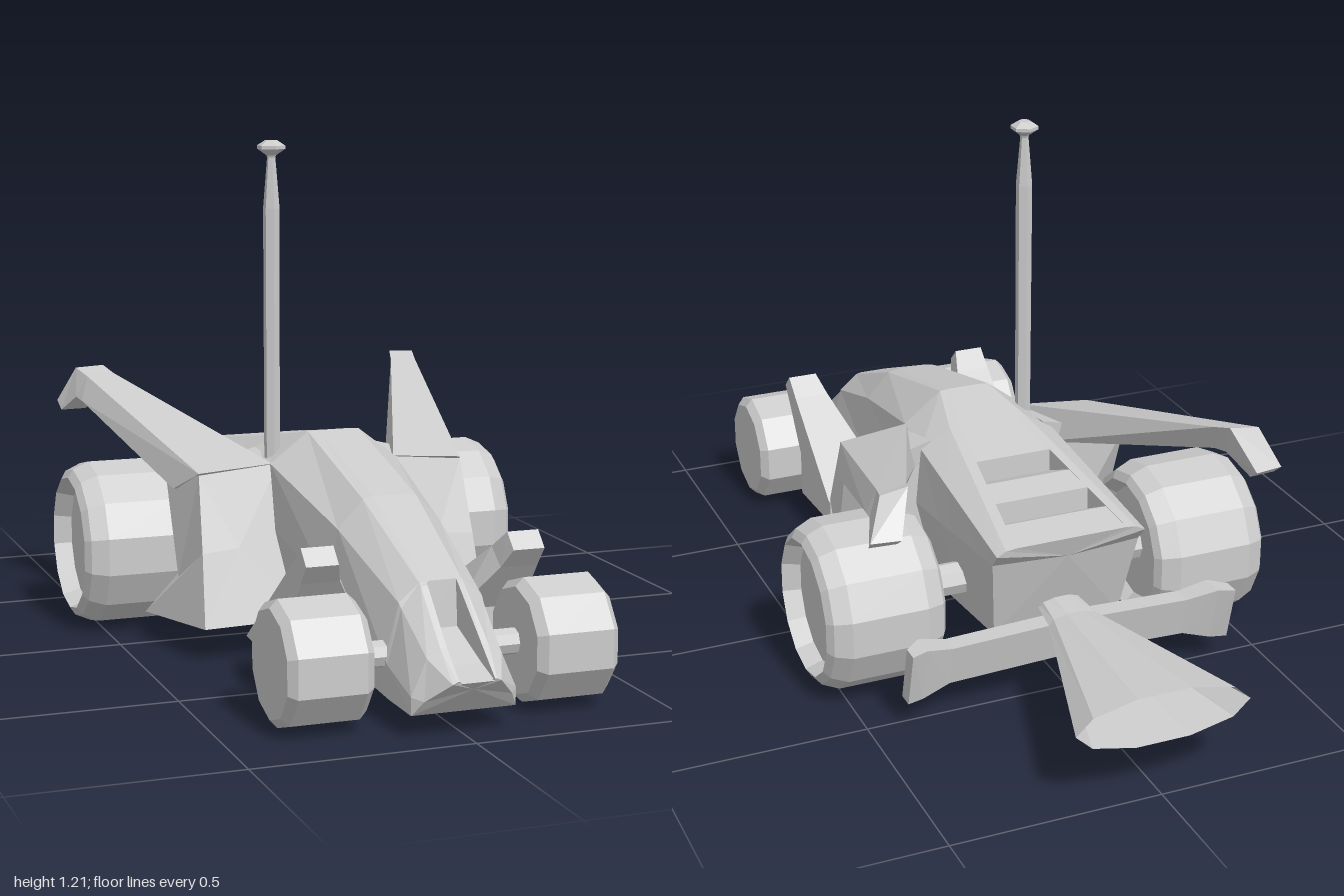
import * as THREE from 'three';

const grey = new THREE.MeshStandardMaterial({ color: 0xcccccc, flatShading: true });
grey.name = 'plain grey';
const greyOpen = grey.clone();
greyOpen.name = 'plain grey';
greyOpen.side = THREE.DoubleSide;

// Skin a run of equal-length loops of [x, y, z]; caps are fans, winding is made outward
function loft(name, loops, { caps = true, material = grey } = {}) {
  const tris = [];
  const n = loops[0].length;
  for (let i = 0; i < loops.length - 1; i++) {
    for (let j = 0; j < n; j++) {
      const k = (j + 1) % n;
      const a = loops[i][j], b = loops[i][k], c = loops[i + 1][k], d = loops[i + 1][j];
      tris.push([a, b, c], [a, c, d]);
    }
  }
  if (caps) {
    [loops[0], loops[loops.length - 1]].forEach((loop, end) => {
      const mid = [0, 1, 2].map((q) => loop.reduce((s, p) => s + p[q], 0) / n);
      loop.forEach((p, j) => {
        const next = loop[(j + 1) % n];
        tris.push(end ? [p, next, mid] : [next, p, mid]);
      });
    });
  }
  const volume = tris.reduce((s, [a, b, c]) => s
    + a[0] * (b[1] * c[2] - b[2] * c[1])
    + a[1] * (b[2] * c[0] - b[0] * c[2])
    + a[2] * (b[0] * c[1] - b[1] * c[0]), 0);
  if (volume < 0) tris.forEach((t) => t.reverse());
  const geo = new THREE.BufferGeometry();
  geo.setAttribute('position', new THREE.Float32BufferAttribute(tris.flat(2), 3));
  geo.computeVertexNormals();
  const mesh = new THREE.Mesh(geo, material);
  mesh.name = name;
  return mesh;
}

const mirror = (loops, side) => loops.map((l) => l.map(([x, y, z]) => [x * side, y, z]));

// Half outline (channel floor, channel edge, ridge, shoulder, side, bottom) to a full ring
function ring(z, half) {
  const right = half.map(([x, y, dz = 0]) => [x, y, z + dz]);
  const left = right.map(([x, y, q]) => [-x, y, q]).reverse();
  return [...right, ...left];
}

// Rear deck section; depth sinks the vent floor
function deck(z, depth) {
  const t = (-0.02 - z) / 0.5;
  const y = 0.49 - 0.09 * t;
  const r = 0.1 + 0.065 * t;
  return ring(z, [
    [r - 0.025, y - depth], [r - 0.025, y], [r, y - 0.003],
    [0.175 + 0.012 * t, 0.44 - 0.055 * t],
    [0.19 - 0.005 * t, 0.3 + 0.05 * t, 0.03 * t],
    [0.14 + 0.02 * t, 0.07 + 0.07 * t, 0.08 * t],
  ]);
}

function body() {
  return loft('body', [
    ring(1, [[0.04, 0.13], [0.04, 0.135], [0.045, 0.135], [0.055, 0.13], [0.1, 0.085, -0.045], [0.12, 0.05, -0.07]]),
    ring(0.93, [[0.04, 0.15], [0.04, 0.19], [0.055, 0.19], [0.085, 0.17], [0.12, 0.09], [0.12, 0.05]]),
    ring(0.81, [[0.035, 0.2], [0.035, 0.297], [0.05, 0.293], [0.095, 0.25], [0.127, 0.13], [0.12, 0.05]]),
    ring(0.8, [[0.03, 0.303], [0.035, 0.303], [0.05, 0.3], [0.097, 0.26], [0.128, 0.14], [0.12, 0.05]]),
    ring(0.5, [[0.03, 0.43], [0.04, 0.43], [0.065, 0.425], [0.125, 0.36], [0.143, 0.22], [0.12, 0.065]]),
    ring(0.13, [[0.03, 0.52], [0.04, 0.52], [0.065, 0.518], [0.16, 0.445], [0.165, 0.3], [0.13, 0.085]]),
    deck(-0.02, 0),
    deck(-0.18, 0), deck(-0.182, 0.055), deck(-0.27, 0.001),
    deck(-0.35, 0), deck(-0.352, 0.055), deck(-0.43, 0.001),
    deck(-0.52, 0),
  ]);
}

// Side pod with flared lower lip
function sidePod(side) {
  return loft('sidePod', mirror([
    [[0.14, 0.445, 0.13], [0.335, 0.425, 0.12], [0.345, 0.25, 0.18], [0.355, 0.08, 0.23], [0.1, 0.088, 0.235]],
    [[0.15, 0.46, -0.02], [0.375, 0.4, -0.02], [0.37, 0.17, 0.06], [0.425, 0.065, -0.04], [0.1, 0.06, -0.04]],
  ], side));
}

// Swept-back wing arm with a drooped tip
function wingArm(side) {
  return loft('wingArm', mirror([
    [[0.155, 0.445, 0.13], [0.335, 0.43, 0.12], [0.372, 0.38, 0.03], [0.17, 0.38, 0.03]],
    [[0.385, 0.59, -0.47], [0.455, 0.585, -0.47], [0.475, 0.525, -0.45], [0.4, 0.525, -0.45]],
    [[0.4, 0.605, -0.52], [0.47, 0.6, -0.53], [0.48, 0.53, -0.49], [0.41, 0.53, -0.49]],
    [[0.44, 0.51, -0.585], [0.51, 0.51, -0.575], [0.505, 0.488, -0.55], [0.44, 0.488, -0.555]],
  ], side));
}

// Wedge fin rising behind each front wheel
function frontFin(side) {
  const slab = (xi, xo, [zb, yb], [zf, yf]) => [[xi, yb, zb], [xo, yb, zb], [xo, yf, zf], [xi, yf, zf]];
  return loft('frontFin', mirror([
    slab(0.1, 0.28, [0.31, 0.08], [0.61, 0.062]),
    slab(0.12, 0.28, [0.43, 0.17], [0.61, 0.18]),
    slab(0.19, 0.28, [0.64, 0.328], [0.69, 0.29]),
    slab(0.205, 0.28, [0.69, 0.37], [0.725, 0.335]),
  ], side));
}

// Half of the rear bumper, turned back at its end
function rearBumper(side) {
  const cut = (x, y0, y1, z0, z1, lean) => [[x, y0, z0], [x, y0, z1], [x, y1, z1 - lean], [x, y1, z0 - lean]];
  return loft('rearBumper', mirror([
    cut(0, 0.09, 0.19, -0.46, -0.51, 0.02),
    cut(0.3, 0.08, 0.18, -0.46, -0.51, 0.02),
    cut(0.37, 0.06, 0.2, -0.46, -0.52, 0.03),
    cut(0.41, 0.06, 0.2, -0.49, -0.53, 0.035),
  ], side));
}

// Wheel lathed from [radius, distance outward]
function wheel(name, profile, sides, side, x, y, z) {
  const points = profile.map(([r, h]) => new THREE.Vector2(r, h));
  const geo = new THREE.LatheGeometry(points, sides);
  geo.rotateY(Math.PI / sides);
  geo.rotateZ(-side * Math.PI / 2);
  const mesh = new THREE.Mesh(geo, greyOpen);
  mesh.name = name;
  mesh.position.set(side * x, y, z);
  return mesh;
}

function axle(name, radius, width, y, z) {
  const mesh = new THREE.Mesh(new THREE.CylinderGeometry(radius, radius, width, 8).rotateZ(Math.PI / 2), grey);
  mesh.name = name;
  mesh.position.set(0, y, z);
  return mesh;
}

// Flattened flaring exhaust
function exhaust() {
  const oval = (z, rx, ry, y) => Array.from({ length: 10 }, (_, i) => {
    const a = (i / 10) * Math.PI * 2;
    return [Math.cos(a) * rx, y + Math.sin(a) * ry, z];
  });
  return loft('exhaust', [oval(-0.42, 0.05, 0.025, 0.2), oval(-0.54, 0.065, 0.022, 0.195), oval(-1, 0.21, 0.063, 0.193)],
    { caps: false, material: greyOpen });
}

// Mast with a small six-sided cap
function antenna() {
  const profile = [[0, 0.42], [0.019, 0.42], [0.02, 1.05], [0.01, 1.17], [0.012, 1.175], [0.034, 1.19], [0.034, 1.198], [0.015, 1.21], [0, 1.21]];
  const geo = new THREE.LatheGeometry(profile.map(([r, y]) => new THREE.Vector2(r, y)), 6);
  const mesh = new THREE.Mesh(geo, grey);
  mesh.name = 'antenna';
  mesh.position.set(-0.138, 0, 0.078);
  return mesh;
}

export function createModel() {
  const model = new THREE.Group();
  model.name = 'raceBuggy';
  const rearTyre = [[0, 0.03], [0.14, 0.03], [0.165, 0], [0.185, 0.012], [0.203, 0.055], [0.203, 0.24], [0.185, 0.28], [0.165, 0.293], [0.15, 0.25], [0, 0.25]];
  const frontTyre = [[0, 0], [0.122, 0], [0.141, 0.02], [0.141, 0.175], [0.122, 0.193], [0, 0.193]];
  model.add(body(), exhaust(), antenna());
  model.add(axle('rearAxle', 0.04, 0.62, 0.202, -0.25), axle('frontAxle', 0.03, 0.4, 0.145, 0.775));
  for (const side of [1, -1]) {
    model.add(sidePod(side), wingArm(side), frontFin(side), rearBumper(side));
    model.add(wheel('rearWheel', rearTyre, 14, side, 0.27, 0.202, -0.25));
    model.add(wheel('frontWheel', frontTyre, 10, side, 0.187, 0.145, 0.775));
  }
  return model;
}
